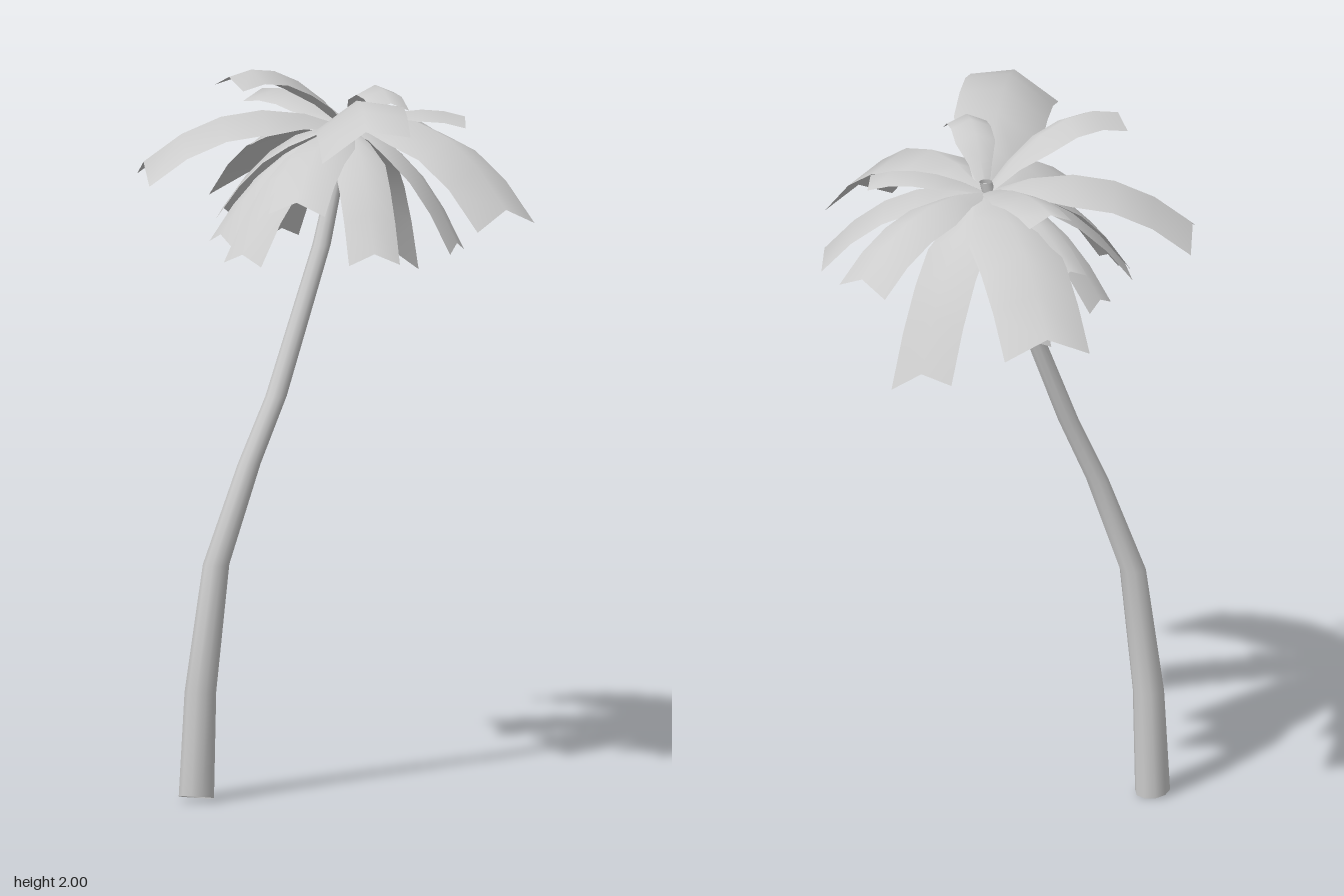
import * as THREE from 'three';
import { toCreasedNormals } from 'three/addons/utils/BufferGeometryUtils.js';

const CROWN = new THREE.Vector3(-0.02, 1.81, -0.08);

// Trunk rings from the ground up: x, y, z, radius
const TRUNK = [
  [-0.35, 0.01, 0.275, 0.048],
  [-0.34, 0.3, 0.27, 0.043],
  [-0.3, 0.65, 0.255, 0.036],
  [-0.225, 0.92, 0.19, 0.031],
  [-0.165, 1.1, 0.135, 0.029],
  [-0.075, 1.5, 0.0, 0.025],
  [-0.022, 1.84, -0.08, 0.018],
];

// Fronds: tip x, y, z, width, height of the arch's control point, sideways tilt
const FRONDS = [
  // long upper fronds
  [-0.43, 1.6, -0.52, 0.24, 1.88, 0],
  [0.12, 1.69, -0.545, 0.17, 1.89, 0],
  [0.39, 1.63, -0.235, 0.17, 1.87, 0],
  [0.5, 1.65, 0.19, 0.225, 1.96, 0],
  [0.21, 1.91, 0.555, 0.24, 2.03, 0.035],
  [-0.535, 1.73, 0.15, 0.23, 1.95, 0],
  // short upper fronds
  [-0.275, 1.985, 0.215, 0.14, 2.05, 0],
  [0.28, 1.84, -0.175, 0.11, 1.89, 0],
  [-0.33, 1.87, -0.3, 0.13, 1.91, 0],
  [0.16, 1.92, 0.14, 0.11, 2.03, 0],
  // hanging lower fronds
  [-0.03, 1.42, -0.485, 0.18, 1.81, 0.02],
  [-0.03, 1.68, 0.405, 0.16, 1.88, 0],
  [-0.2, 1.52, 0.345, 0.13, 1.83, 0],
  [-0.385, 1.57, -0.11, 0.11, 1.83, 0],
  [-0.37, 1.7, -0.26, 0.11, 1.86, 0],
  [0.29, 1.51, -0.06, 0.11, 1.81, 0],
  [0.16, 1.53, 0.3, 0.14, 1.81, 0],
  [-0.3, 1.55, 0.21, 0.12, 1.81, 0],
  [-0.27, 1.49, -0.29, 0.11, 1.81, 0],
];

// Tapered open trunk: each ring of a unit cylinder follows the ring table
function trunkGeometry() {
  const steps = TRUNK.length - 1;
  const geo = new THREE.CylinderGeometry(1, 1, 1, 10, steps, true);
  const p = geo.attributes.position;
  for (let i = 0; i < p.count; i++) {
    const ring = Math.round((p.getY(i) + 0.5) * steps);
    const [x, y, z, r] = TRUNK[ring];
    const tilt = ring === 0 ? p.getZ(i) * 0.01 : 0;
    p.setXYZ(i, x + p.getX(i) * r, y + tilt, z + p.getZ(i) * r);
  }
  return toCreasedNormals(geo, 0.9);
}

// Arched strip folded down along its midrib
function frondGeometry([x, y, z, width, archY, tilt]) {
  const tip = new THREE.Vector3(x, y, z);
  const control = CROWN.clone().lerp(tip, 0.55).setY(archY);
  const curve = new THREE.QuadraticBezierCurve3(CROWN, control, tip);
  const side = new THREE.Vector3(CROWN.z - z, 0, x - CROWN.x).normalize();
  const steps = 5, positions = [], index = [];
  for (let i = 0; i <= steps; i++) {
    const t = i / steps;
    const c = curve.getPoint(t);
    const grow = Math.min(1, 0.2 + 2 * t);
    const w = width * grow;
    for (const s of [-1, 0, 1]) {
      positions.push(
        c.x + side.x * s * w / 2,
        c.y - Math.abs(s) * w * 0.22 - s * tilt * grow,
        c.z + side.z * s * w / 2);
    }
    if (i === steps) break;
    for (const k of [0, 1]) {
      const a = i * 3 + k, b = a + 1, d = a + 3, e = a + 4;
      index.push(b, a, d, e, b, d);
    }
  }
  const geo = new THREE.BufferGeometry();
  geo.setAttribute('position', new THREE.Float32BufferAttribute(positions, 3));
  geo.setIndex(index);
  return toCreasedNormals(geo, 1.1);
}

export function createModel() {
  const model = new THREE.Group();
  model.name = 'palmTree';
  const grey = new THREE.MeshStandardMaterial({ color: 0xcccccc, side: THREE.DoubleSide });
  grey.name = 'lightGrey';

  const trunk = new THREE.Mesh(trunkGeometry(), grey);
  trunk.name = 'trunk';
  model.add(trunk);

  const crown = new THREE.Group();
  crown.name = 'crown';
  FRONDS.forEach((spec, i) => {
    const frond = new THREE.Mesh(frondGeometry(spec), grey);
    frond.name = `frond${i + 1}`;
    crown.add(frond);
  });
  model.add(crown);
  return model;
}
